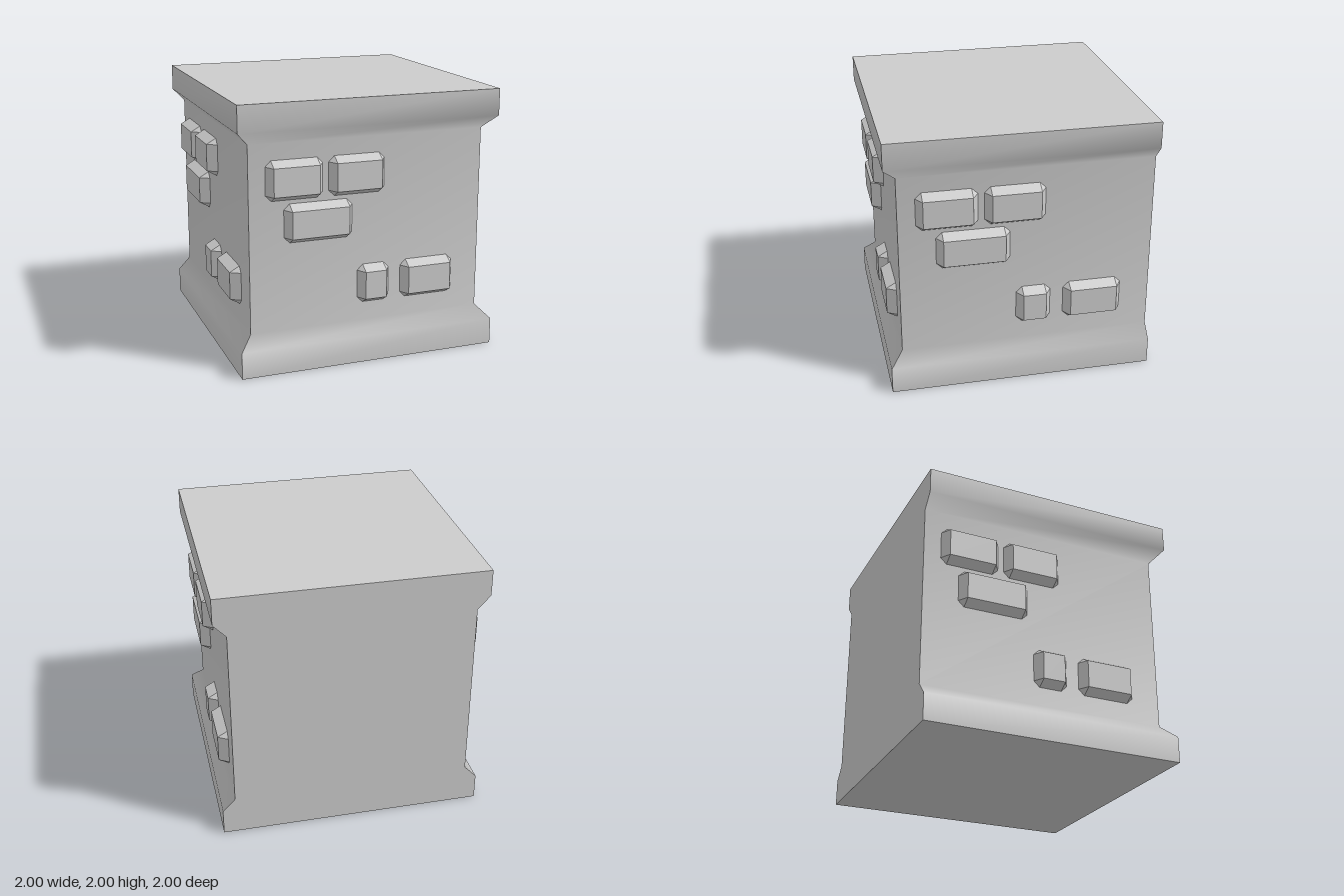
import * as THREE from 'three';
import { ConvexGeometry } from 'three/addons/geometries/ConvexGeometry.js';

const WALL = 0.905; // distance of the recessed wall from the centre
// [half width, height] up the moulded wall
const PROFILE = [[1, 0], [1, 0.2], [WALL, 0.3], [WALL, 1.7], [1, 1.8], [1, 2]];
// left, right, bottom, top of each raised brick
const BRICKS = [
  [-0.78, -0.35, 1.28, 1.575],
  [-0.305, 0.125, 1.28, 1.575],
  [-0.645, -0.125, 0.96, 1.25],
  [-0.08, 0.17, 0.44, 0.735],
  [0.265, 0.69, 0.44, 0.735],
];

// Moulded wall as a smooth strip between two corner lines
function wallGeometry(cornerA, cornerB) {
  const pos = [], index = [];
  PROFILE.forEach(([r, y], i) => {
    const a = cornerA(r), b = cornerB(r);
    pos.push(a[0], y, a[1], b[0], y, b[1]);
    if (i > 0) {
      const k = 2 * (i - 1);
      index.push(k, k + 1, k + 3, k, k + 3, k + 2);
    }
  });
  const g = new THREE.BufferGeometry();
  g.setAttribute('position', new THREE.Float32BufferAttribute(pos, 3));
  g.setIndex(index);
  g.computeVertexNormals();
  return g;
}

// Brick with clipped corners at the wall, tapering to a rectangular face
function brickGeometry([x0, x1, y0, y1]) {
  const b = 0.043, h = 0.075, pts = [];
  for (const [x, sx] of [[x0, 1], [x1, -1]]) {
    for (const [y, sy] of [[y0, 1], [y1, -1]]) {
      pts.push(new THREE.Vector3(x, y + sy * b, 0));
      pts.push(new THREE.Vector3(x + sx * b, y, 0));
      pts.push(new THREE.Vector3(x + sx * b, y + sy * b, h));
    }
  }
  return new ConvexGeometry(pts);
}

export function createModel() {
  const model = new THREE.Group();
  model.name = 'stoneBlock';
  const stone = new THREE.MeshStandardMaterial({ color: 0xcccccc });
  stone.name = 'grey stone';
  const add = (parent, geometry, name) => {
    const mesh = new THREE.Mesh(geometry, stone);
    mesh.name = name;
    parent.add(mesh);
    return mesh;
  };

  // Three moulded walls meeting at mitred front corners
  const frontLeft = r => [r, r], frontRight = r => [-r, r];
  const backLeft = r => [r, -1], backRight = r => [-r, -1];
  add(model, wallGeometry(frontRight, frontLeft), 'frontWall');
  add(model, wallGeometry(frontLeft, backLeft), 'leftWall');
  add(model, wallGeometry(backRight, frontRight), 'rightWall');

  // Flat back cut to the profile
  const outline = [
    ...PROFILE.map(([r, y]) => new THREE.Vector2(r, y)),
    ...PROFILE.slice().reverse().map(([r, y]) => new THREE.Vector2(-r, y)),
  ];
  const back = add(model, new THREE.ShapeGeometry(new THREE.Shape(outline)), 'backWall');
  back.rotation.y = Math.PI;
  back.position.z = -1;

  // Top and bottom
  const top = add(model, new THREE.PlaneGeometry(2, 2), 'top');
  top.rotation.x = -Math.PI / 2;
  top.position.y = 2;
  const bottom = add(model, new THREE.PlaneGeometry(2, 2), 'bottom');
  bottom.rotation.x = Math.PI / 2;

  // The same bricks on each moulded wall, stretched a little on the longer sides
  const stretch = (1 + WALL) / (2 * WALL), shift = (WALL - 1) / 2;
  const sides = [
    ['frontBricks', 0, 0, WALL, 1],
    ['leftBricks', Math.PI / 2, WALL, shift, stretch],
    ['rightBricks', -Math.PI / 2, -WALL, shift, stretch],
  ];
  const brickGeometries = BRICKS.map(brickGeometry);
  for (const [name, angle, x, z, scale] of sides) {
    const group = new THREE.Group();
    group.name = name;
    brickGeometries.forEach((g, i) => add(group, g, 'brick' + (i + 1)));
    group.rotation.y = angle;
    group.position.set(x, 0, z);
    group.scale.x = scale;
    model.add(group);
  }
  return model;
}
